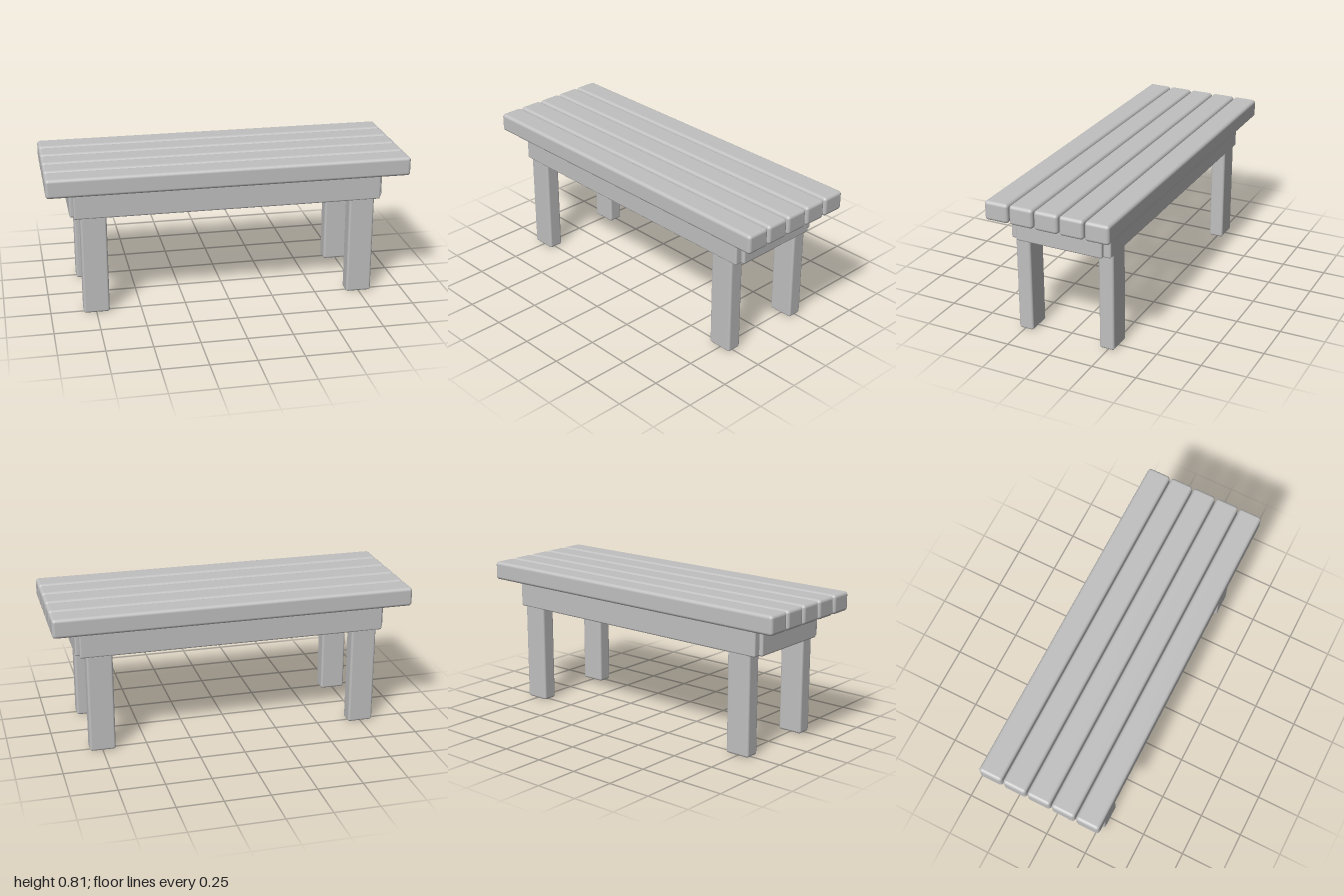
import * as THREE from 'three';
import { RoundedBoxGeometry } from 'three/addons/geometries/RoundedBoxGeometry.js';

export function createModel() {
  const bench = new THREE.Group();
  bench.name = 'bench';

  const grey = new THREE.MeshStandardMaterial({ color: 0xc0c0c0 });
  grey.name = 'plain grey';

  // Soft-edged board given by its lower and upper limits on each axis
  function board(name, [x0, x1], [y0, y1], [z0, z1], radius) {
    const geometry = new RoundedBoxGeometry(x1 - x0, y1 - y0, z1 - z0, 4, radius);
    const mesh = new THREE.Mesh(geometry, grey);
    mesh.name = name;
    mesh.position.set((x0 + x1) / 2, (y0 + y1) / 2, (z0 + z1) / 2);
    bench.add(mesh);
  }

  // Limits of a span mirrored to the given side
  const span = (side, inner, outer) => (side > 0 ? [inner, outer] : [-outer, -inner]);

  // Five seat slats with narrow gaps
  for (let i = -2; i <= 2; i++) {
    const z = i * 0.1425;
    board('seatSlat', [-1, 1], [0.705, 0.811], [z - 0.0675, z + 0.0675], 0.018);
  }

  for (const side of [1, -1]) {
    // Long rails under the front and back slats
    board(side > 0 ? 'frontRail' : 'backRail',
      [-0.853, 0.853], [0.555, 0.706], span(side, 0.228, 0.288), 0.01);

    // Short rails across each end, standing slightly proud of the long rails
    board(side > 0 ? 'leftEndRail' : 'rightEndRail',
      span(side, 0.77, 0.873), [0.555, 0.706], [-0.248, 0.248], 0.01);

    // Legs, running up behind the rails into the slats
    for (const end of [1, -1]) {
      board((side > 0 ? 'front' : 'back') + (end > 0 ? 'Left' : 'Right') + 'Leg',
        span(end, 0.677, 0.82), [0, 0.722], span(side, 0.2, 0.285), 0.013);
    }
  }

  return bench;
}
